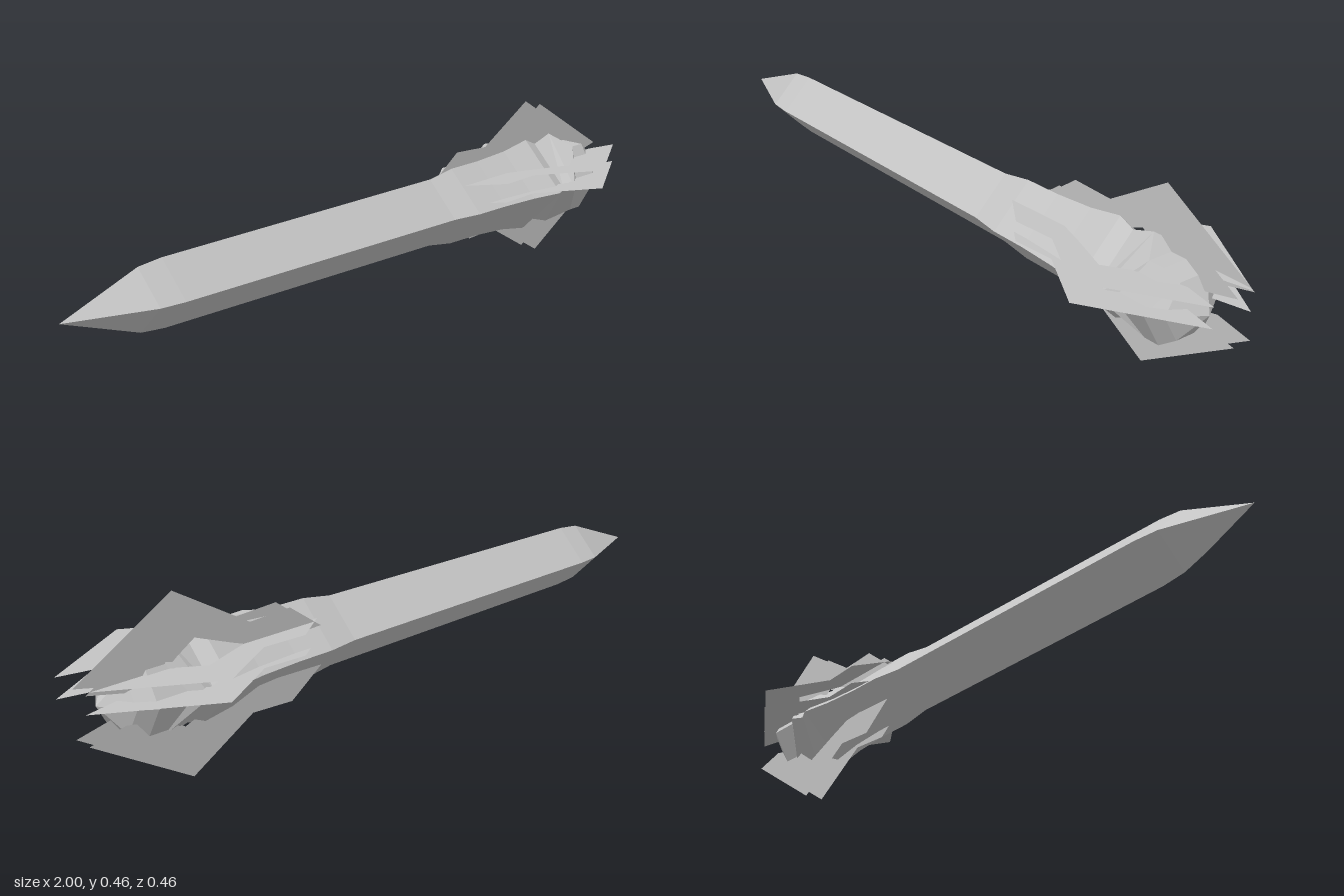
import * as THREE from 'three';

export function createModel() {
  const model = new THREE.Group();
  const axisY = 0.226;
  const steel = new THREE.MeshStandardMaterial({ color: 0xc4c4c4 });
  steel.name = 'steel grey';
  steel.flatShading = true;
  steel.side = THREE.DoubleSide;

  // Four-sided shaft along x with its pointed tip, from [x, radius] pairs
  const profile = [
    [-1, 0], [-0.78, 0.082], [-0.71, 0.089], [0.22, 0.097],
    [0.31, 0.111], [0.42, 0.112], [0.54, 0.12], [0.64, 0.137], [0.685, 0.117], [0.685, 0],
  ];
  const lathe = new THREE.LatheGeometry(profile.map(([x, r]) => new THREE.Vector2(r, x)), 4);
  lathe.rotateZ(-Math.PI / 2);
  const shaftGeometry = lathe.toNonIndexed();
  shaftGeometry.computeVertexNormals();
  const shaft = new THREE.Mesh(shaftGeometry, steel);
  shaft.name = 'shaft';
  shaft.position.y = axisY;
  model.add(shaft);

  // Six-point ring: two side corners, and top and bottom edges that may close to a point
  function ring(sideX, sideZ, topX, topY, topZ) {
    return [
      [sideX, 0, sideZ], [topX, topY, topZ], [topX, topY, -topZ],
      [sideX, 0, -sideZ], [topX, -topY, -topZ], [topX, -topY, topZ],
    ];
  }

  // Skin a row of rings with flat triangles
  function loft(name, rings) {
    const positions = [];
    for (let i = 0; i < rings.length - 1; i++) {
      const a = rings[i], b = rings[i + 1];
      for (let j = 0; j < 6; j++) {
        const k = (j + 1) % 6;
        const corners = j % 3 === 2
          ? [a[j], b[j], a[k], a[k], b[j], b[k]]
          : [a[j], b[j], b[k], a[j], b[k], a[k]];
        positions.push(...corners.flat());
      }
    }
    const geometry = new THREE.BufferGeometry();
    geometry.setAttribute('position', new THREE.Float32BufferAttribute(positions, 3));
    geometry.computeVertexNormals();
    const mesh = new THREE.Mesh(geometry, steel);
    mesh.name = name;
    mesh.position.y = axisY;
    model.add(mesh);
  }

  // Collar running from the four-sided shaft into the six-sided end knob
  const knobStart = ring(0.745, 0.115, 0.795, 0.1, 0.058);
  loft('collar', [ring(0.682, 0.117, 0.682, 0.117, 0), ring(0.71, 0.138, 0.75, 0.138, 0), knobStart]);
  loft('endKnob', [
    knobStart,
    ring(0.84, 0.115, 0.84, 0.1, 0.058),
    ring(0.88, 0.086, 0.88, 0.075, 0.043),
    ring(0.935, 0, 0.935, 0, 0),
  ]);

  // Thin double fins on four sides, set off towards the back and the top
  const outline = [
    [0.31, 0.053], [0.41, 0.125], [0.535, 0.119], [0.72, 0.229], [1, 0.062], [0.9, 0.04],
    [0.79, 0.06], [0.75, 0.09], [0.7, 0.122], [0.59, 0.08], [0.5, 0.048],
  ];
  const finGeometry = new THREE.ShapeGeometry(
    new THREE.Shape(outline.map(([x, y]) => new THREE.Vector2(x, y))));
  ['upperFin', 'frontFin', 'lowerFin', 'backFin'].forEach((name, i) => {
    const fin = new THREE.Group();
    fin.name = name;
    for (const offset of [-0.068, -0.014]) {
      const plate = new THREE.Mesh(finGeometry, steel);
      plate.name = name + 'Plate';
      plate.position.z = i < 2 ? offset : -offset;
      fin.add(plate);
    }
    fin.rotation.x = i * Math.PI / 2;
    fin.position.y = 0.229;
    model.add(fin);
  });

  return model;
}
